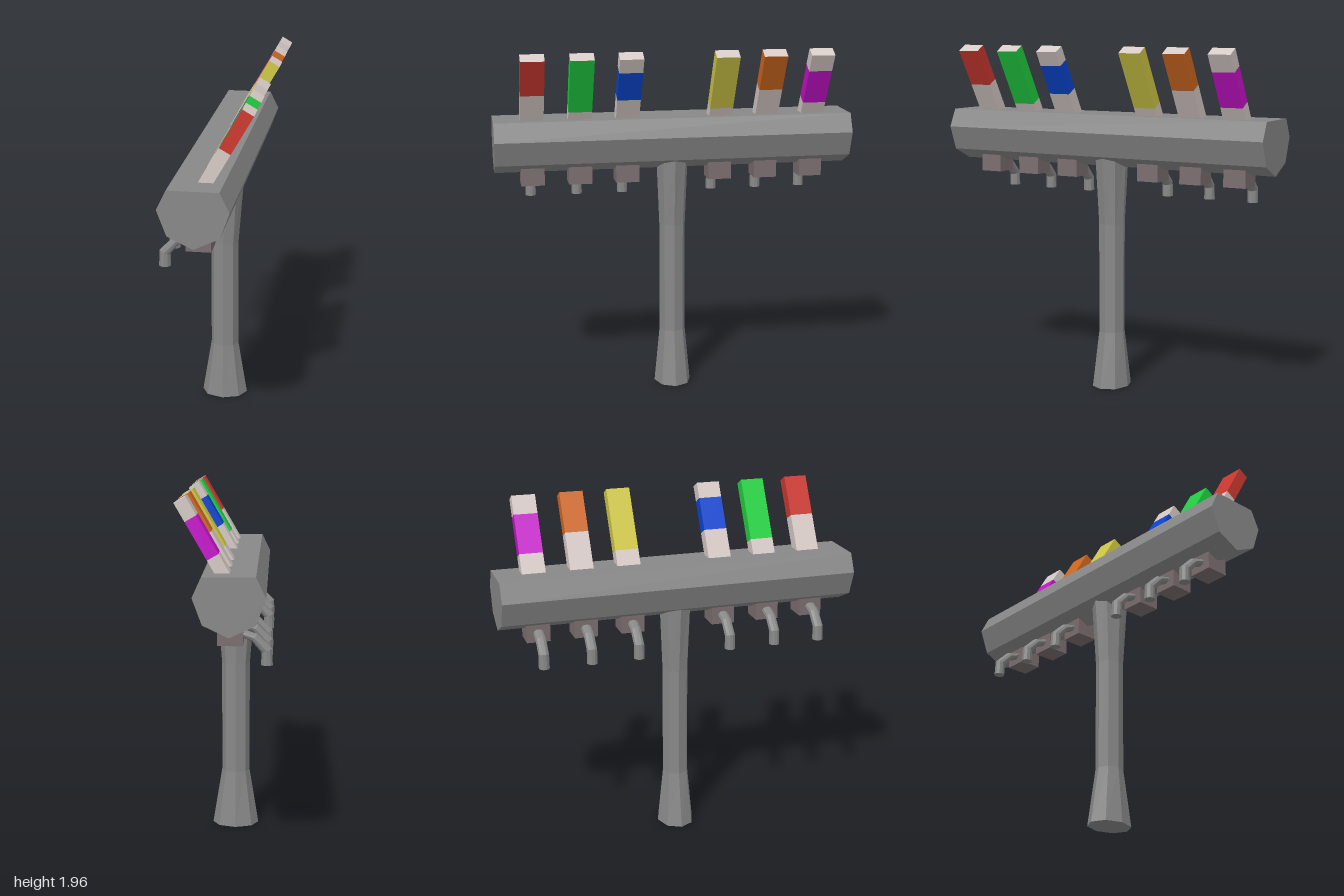
import * as THREE from 'three';

const mat = (color) => new THREE.MeshStandardMaterial({ color, flatShading: true });
const bodyMat = mat(0x888888);
const handleMat = mat(0xd6cac6);
const blockMat = mat(0x7b6e70);
const CX = -0.033; // shared centre line of bar, column and tap blocks

function mesh(name, geometry, material) {
  const m = new THREE.Mesh(geometry, material);
  m.name = name;
  return m;
}

// Faceted tube through rings [x, y, radiusInPlane, radiusZ, tilt], listed from top to bottom
function loft(rings, sides) {
  const geo = new THREE.CylinderGeometry(1, 1, 1, sides, rings.length - 1);
  const p = geo.attributes.position;
  for (let i = 0; i < p.count; i++) {
    const [cx, cy, rx, rz, tilt] = rings[Math.round((0.5 - p.getY(i)) * (rings.length - 1))];
    const u = p.getX(i) * rx;
    p.setXYZ(i, cx + u * Math.cos(tilt), cy + u * Math.sin(tilt), p.getZ(i) * rz);
  }
  geo.computeVertexNormals();
  return geo;
}

// Slanted handle with a coloured band between heights y0 and y1
function makeHandle(color, y0, y1) {
  const LEAN = Math.PI / 6, LENGTH = 0.45, BASE_Y = 1.55;
  const along = (y) => Math.min(LENGTH, (y + 0.017 - BASE_Y) / Math.cos(LEAN));
  const a = along(y0), b = along(y1);
  const band = mat(color);
  // the end faces of the band stay in the handle colour
  const bandMats = [band, band, handleMat, handleMat, band, band];
  const handle = new THREE.Group();
  handle.name = 'handle';
  const segments = [
    ['handleShaft', 0, a, handleMat],
    ['handleBand', a, b, bandMats],
    ['handleTip', b, LENGTH, handleMat],
  ];
  for (const [name, from, to, material] of segments) {
    if (to - from < 0.01) continue;
    const part = mesh(name, new THREE.BoxGeometry(0.067, to - from, 0.13), material);
    part.position.y = (from + to) / 2;
    handle.add(part);
  }
  handle.position.set(-0.009, BASE_Y, 0);
  handle.rotation.z = -LEAN;
  return handle;
}

export function createModel() {
  const model = new THREE.Group();
  model.name = 'tapTower';

  // Support column: eight sides, flared at foot and head
  model.add(mesh('column', loft([
    [CX, 1.42, 0.117, 0.093, 0],
    [CX, 0.95, 0.079, 0.074, 0],
    [CX, 0.32, 0.079, 0.074, 0],
    [CX, 0, 0.131, 0.105, 0],
  ], 8), bodyMat));

  // Seven-sided crossbar
  const profile = new THREE.Shape([
    [0, 1.277], [0.132, 1.34], [0.182, 1.475], [0.132, 1.577],
    [-0.132, 1.577], [-0.182, 1.475], [-0.132, 1.34],
  ].map(([x, y]) => new THREE.Vector2(CX + x, y)));
  const barGeo = new THREE.ExtrudeGeometry(profile, { depth: 2, bevelEnabled: false });
  barGeo.translate(0, 0, -1);
  model.add(mesh('crossbar', barGeo, bodyMat));

  // Curved spout with a rounded bend
  const spoutGeo = loft([
    [-0.08, 1.27, 0.018, 0.029, -1.25],
    [-0.155, 1.243, 0.024, 0.029, -0.98],
    [-0.216, 1.178, 0.03, 0.029, -0.36],
    [-0.218, 1.103, 0.031, 0.03, 0],
  ], 10);
  const blockGeo = new THREE.BoxGeometry(0.13, 0.13, 0.13);

  // Six taps: z position, band colour, band bottom and top heights
  const taps = [
    [0.79, 0xcc3830, 1.725, 1.93],
    [0.526, 0x20d040, 1.62, 1.93],
    [0.262, 0x0a45d2, 1.685, 1.845],
    [-0.262, 0xd0c846, 1.62, 1.93],
    [-0.526, 0xd0681f, 1.725, 1.93],
    [-0.79, 0xc812cc, 1.64, 1.83],
  ];
  for (const [z, color, y0, y1] of taps) {
    const tap = new THREE.Group();
    tap.name = 'tap';
    const block = mesh('tapBlock', blockGeo, blockMat);
    block.position.set(CX, 1.275, 0);
    tap.add(block, mesh('spout', spoutGeo, bodyMat), makeHandle(color, y0, y1));
    tap.position.z = z;
    model.add(tap);
  }
  return model;
}
